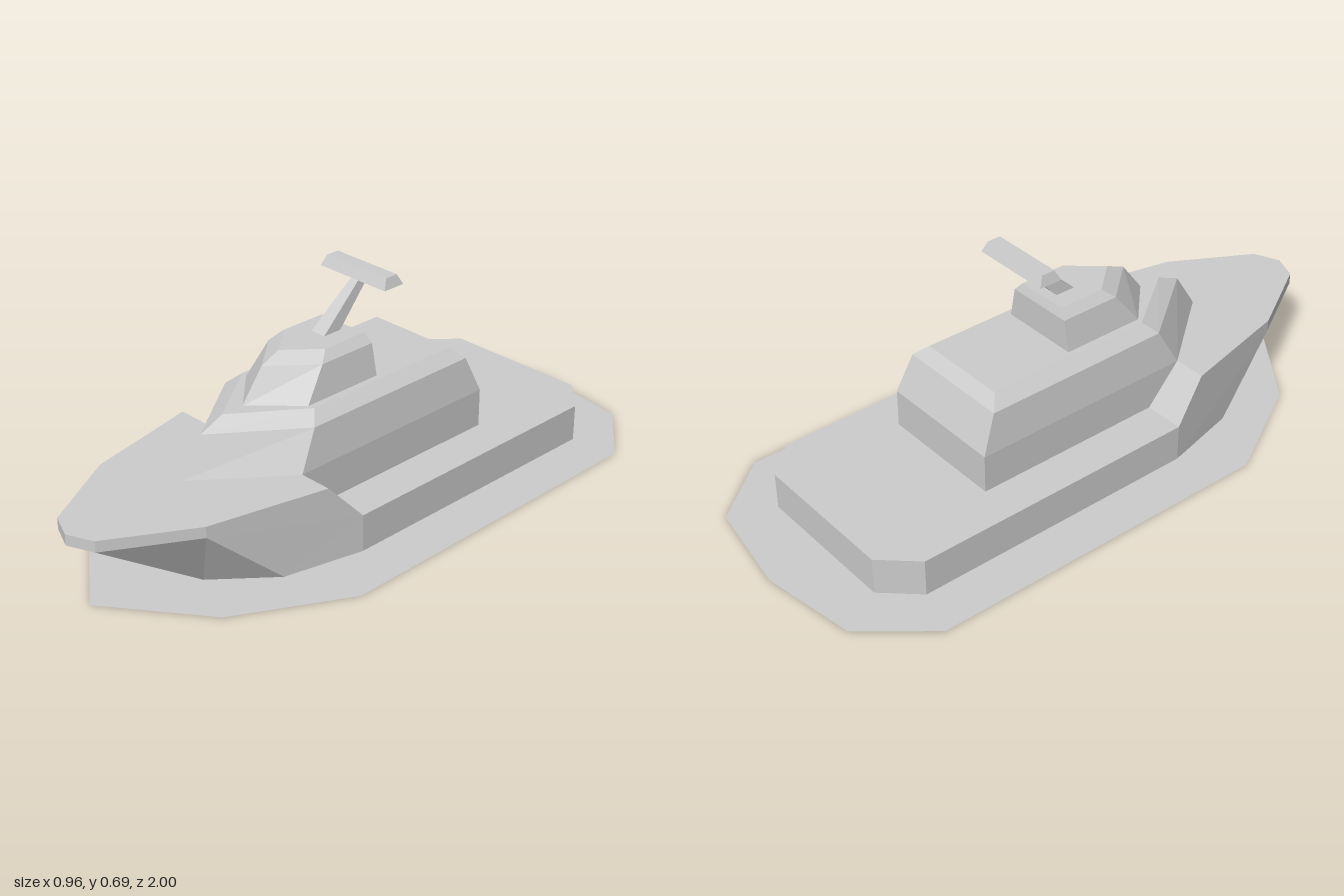
import * as THREE from 'three';

const material = new THREE.MeshStandardMaterial({ color: 0xcccccc, flatShading: true });

// Completes a half outline (front to back, x >= 0) by mirroring it across x = 0
const mirror = (half) => [
  ...half,
  ...half.filter((p) => p[0] > 0).reverse().map(([x, ...rest]) => [-x, ...rest]),
];

// Joins stacked rings of [x, y, z] points, lowest first, into a closed faceted solid
function loft(name, rings) {
  const positions = [];
  const tri = (...corners) => {
    const [a, b, c] = corners.map((p) => new THREE.Vector3(...p));
    if (new THREE.Triangle(a, b, c).getArea() < 1e-7) return;
    for (const p of [a, b, c]) positions.push(p.x, p.y, p.z);
  };
  const quad = (a, b, c, d) => { tri(a, b, c); tri(a, c, d); };
  const n = rings[0].length;

  // Walls
  for (let r = 0; r < rings.length - 1; r++) {
    const low = rings[r], high = rings[r + 1];
    for (let i = 0; i < n; i++) {
      const j = (i + 1) % n;
      quad(low[i], low[j], high[j], high[i]);
    }
  }
  // Caps, as strips running between the two mirrored sides
  const bottom = rings[0], top = rings[rings.length - 1];
  for (let i = 0; i < n / 2; i++) {
    const strip = [i, i + 1, n - i - 1, (n - i) % n];
    quad(...strip.map((k) => top[k]));
    quad(...strip.reverse().map((k) => bottom[k]));
  }
  const geometry = new THREE.BufferGeometry();
  geometry.setAttribute('position', new THREE.Float32BufferAttribute(positions, 3));
  geometry.computeVertexNormals();
  const mesh = new THREE.Mesh(geometry, material);
  mesh.name = name;
  return mesh;
}

// Five-sided cabin level with a pointed front
const cabinRing = ([y, width, tip, shoulder, back]) =>
  mirror([[0, y, tip], [width, y, shoulder], [width, y, back]]);

const rectRing = (y, width, front, back) =>
  [[-width, y, front], [width, y, front], [width, y, back], [-width, y, back]];

// Four-sided solid between two rectangles
function block(name, low, high) {
  // Start each ring at the front centre so that the caps mirror properly
  const ring = (r) => {
    const pts = rectRing(...r);
    return [[0, r[0], r[2]], pts[1], pts[2], pts[3], pts[0]];
  };
  return loft(name, [ring(low), ring(high)]);
}

export function createModel() {
  const group = new THREE.Group();
  group.name = 'patrolBoat';

  // Flat patch of water
  const outline = mirror([[0, 0.94], [0.295, 0.72], [0.482, 0.38], [0.475, -0.75], [0.31, -0.95], [0, -1]]);
  const waterGeometry = new THREE.ShapeGeometry(new THREE.Shape(outline.map((p) => new THREE.Vector2(...p))));
  waterGeometry.rotateX(Math.PI / 2);
  const waterMaterial = material.clone();
  waterMaterial.side = THREE.DoubleSide;
  const water = new THREE.Mesh(waterGeometry, waterMaterial);
  water.name = 'water';
  group.add(water);

  // Hull: keel, knuckle and deck edge; the deck ramps down behind the foredeck
  const stern = (y) => [[0.338, y, -0.71], [0.24, y, -0.815]];
  const step = [0.338, 0.13, 0.23];
  const keel = [[0, 0.012, 0.695], [0.135, 0.012, 0.65], [0.28, 0.012, 0.48],
    [0.338, 0.012, 0.23], [0.338, 0.012, 0.23], ...stern(0.012)];
  const knuckle = [[0, 0.217, 1], [0.082, 0.217, 0.965], [0.23, 0.217, 0.71],
    step, step, ...stern(0.13)];
  const deckEdge = [[0, 0.252, 1], [0.082, 0.252, 0.965], [0.23, 0.252, 0.71],
    [0.313, 0.252, 0.34], step, ...stern(0.13)];
  group.add(loft('hull', [keel, knuckle, deckEdge].map(mirror)));

  // Cabin levels: height, half width, tip z, shoulder z, back z
  group.add(loft('mainCabin', [
    [0.125, 0.208, 0.605, 0.34, -0.4],
    [0.252, 0.208, 0.605, 0.34, -0.4],
    [0.37, 0.19, 0.53, 0.275, -0.35],
    [0.404, 0.152, 0.45, 0.24, -0.315],
  ].map(cabinRing)));
  group.add(loft('bridge', [
    [0.402, 0.132, 0.375, 0.245, -0.028],
    [0.502, 0.112, 0.3, 0.17, -0.028],
    [0.53, 0.087, 0.235, 0.135, -0.018],
  ].map(cabinRing)));

  // Raked mast and radar bar: height, half width, front z, back z
  group.add(block('mast', [0.525, 0.027, 0.087, 0.022], [0.665, 0.014, -0.077, -0.115]));
  group.add(block('radarBar', [0.662, 0.132, -0.057, -0.133], [0.694, 0.121, -0.073, -0.117]));

  return group;
}
